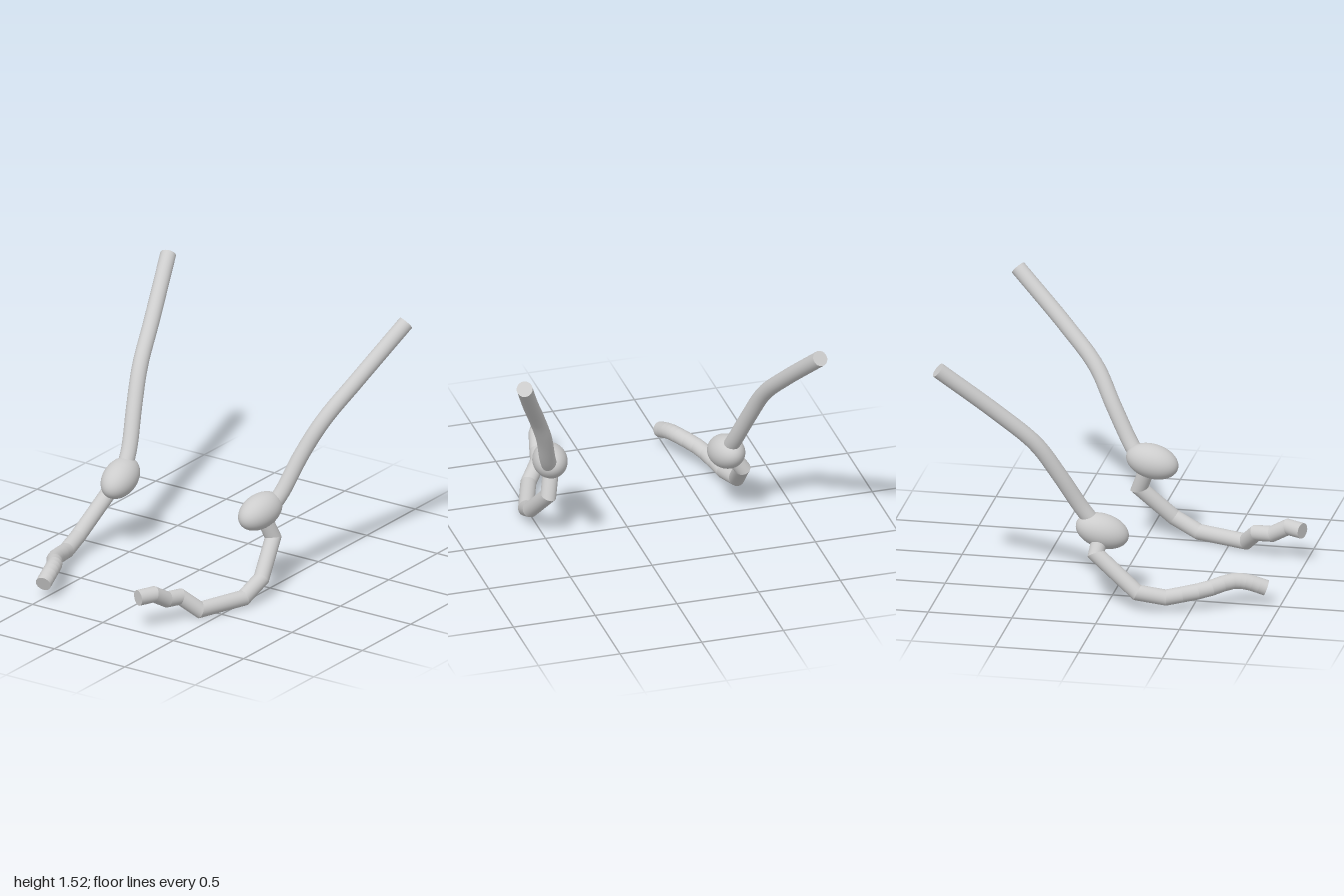
import * as THREE from 'three';

const SIDES = 24;
const RADIUS = 0.047;
const grey = new THREE.MeshStandardMaterial({ color: 0xcccccc });
grey.name = 'plain grey';

const vec = (p) => new THREE.Vector3(...p);
const smooth = (pts, n) => new THREE.CatmullRomCurve3(pts.map(vec)).getPoints(n);

// Round rod along a path with mitred joints and flat end caps.
// sharp: every joint keeps a hard crease; otherwise joints are shaded smooth.
function rod(path, sharp) {
  const pos = [], index = [];
  const dirs = path.slice(1).map((p, i) => p.clone().sub(path[i]).normalize());
  const addRing = (ring) => {
    const first = pos.length / 3;
    ring.forEach((p) => pos.push(p.x, p.y, p.z));
    return first;
  };

  // starting offsets around the first direction
  const u = new THREE.Vector3(1, 0, 0).cross(dirs[0]).normalize();
  const v = dirs[0].clone().cross(u);
  let offsets = Array.from({ length: SIDES }, (_, j) => {
    const a = (j / SIDES) * Math.PI * 2;
    return u.clone().multiplyScalar(Math.cos(a) * RADIUS).addScaledVector(v, Math.sin(a) * RADIUS);
  });

  // one ring per joint, lying in the plane that halves the bend
  const rings = path.map((p, i) => {
    const before = dirs[Math.max(i - 1, 0)];
    const after = dirs[Math.min(i, dirs.length - 1)];
    const mid = before.clone().add(after).normalize();
    const cut = offsets.map((o) => o.clone().addScaledVector(before, -o.dot(mid) / before.dot(mid)));
    offsets = cut.map((o) => o.clone().addScaledVector(after, -o.dot(after)));
    return cut.map((o) => o.add(p));
  });

  // walls
  let low = addRing(rings[0]);
  for (let i = 1; i < rings.length; i++) {
    const high = addRing(rings[i]);
    for (let j = 0; j < SIDES; j++) {
      const k = (j + 1) % SIDES;
      index.push(low + j, low + k, high + k, low + j, high + k, high + j);
    }
    low = sharp && i < rings.length - 1 ? addRing(rings[i]) : high;
  }

  // caps
  [0, rings.length - 1].forEach((i) => {
    const first = addRing([...rings[i], path[i]]);
    for (let j = 0; j < SIDES; j++) {
      const k = (j + 1) % SIDES;
      if (i) index.push(first + SIDES, first + j, first + k);
      else index.push(first + SIDES, first + k, first + j);
    }
  });

  const g = new THREE.BufferGeometry();
  g.setAttribute('position', new THREE.Float32BufferAttribute(pos, 3));
  g.setIndex(index);
  g.computeVertexNormals();
  return g;
}

function part(name, geometry) {
  const m = new THREE.Mesh(geometry, grey);
  m.name = name;
  return m;
}

// Upper rod, egg-shaped joint and bent lower rod
function limb(name, { upper, joint, axis, lower }) {
  const g = new THREE.Group();
  g.name = name;
  const egg = part('joint', new THREE.SphereGeometry(1, 40, 28));
  egg.scale.set(0.102, 0.16, 0.102);
  egg.position.set(...joint);
  egg.quaternion.setFromUnitVectors(new THREE.Vector3(0, 1, 0), vec(axis).normalize());
  g.add(part('upperRod', rod(smooth(upper, 24), false)), egg, part('lowerRod', rod(lower, true)));
  return g;
}

export function createModel() {
  const model = new THREE.Group();
  model.name = 'pairOfLimbs';

  model.add(limb('leftLimb', {
    upper: [[0.885, 1.495, -0.845], [0.75, 1.2, -0.525], [0.655, 1.0, -0.33],
      [0.575, 0.8, -0.215], [0.52, 0.6, -0.105], [0.49, 0.52, -0.05]],
    joint: [0.46, 0.505, 0.043],
    axis: [-0.13, -0.2, 1],
    lower: [[0.465, 0.45, 0.01], [0.495, 0.32, -0.04], [0.545, 0.135, 0.155], [0.525, 0.06, 0.31],
      [0.42, 0.06, 0.61], [0.335, 0.15, 0.69], [0.31, 0.16, 0.79], [0.285, 0.22, 0.89],
      [0.24, 0.218, 0.985]].map(vec),
  }));

  model.add(limb('rightLimb', {
    upper: [[-0.888, 1.485, -0.965], [-0.775, 1.2, -0.63], [-0.71, 1.0, -0.415],
      [-0.662, 0.8, -0.285], [-0.615, 0.6, -0.17], [-0.598, 0.5, -0.1]],
    joint: [-0.593, 0.445, -0.042],
    axis: [0.12, -0.3, 1],
    // straight shin, then a softly curved tail
    lower: [...[[-0.62, 0.42, -0.05], [-0.685, 0.33, -0.06], [-0.73, 0.125, 0.195]].map(vec),
      ...smooth([[-0.7, 0.095, 0.36], [-0.63, 0.135, 0.58], [-0.535, 0.165, 0.725],
        [-0.505, 0.155, 0.81], [-0.482, 0.118, 0.915]], 10)],
  }));

  return model;
}
